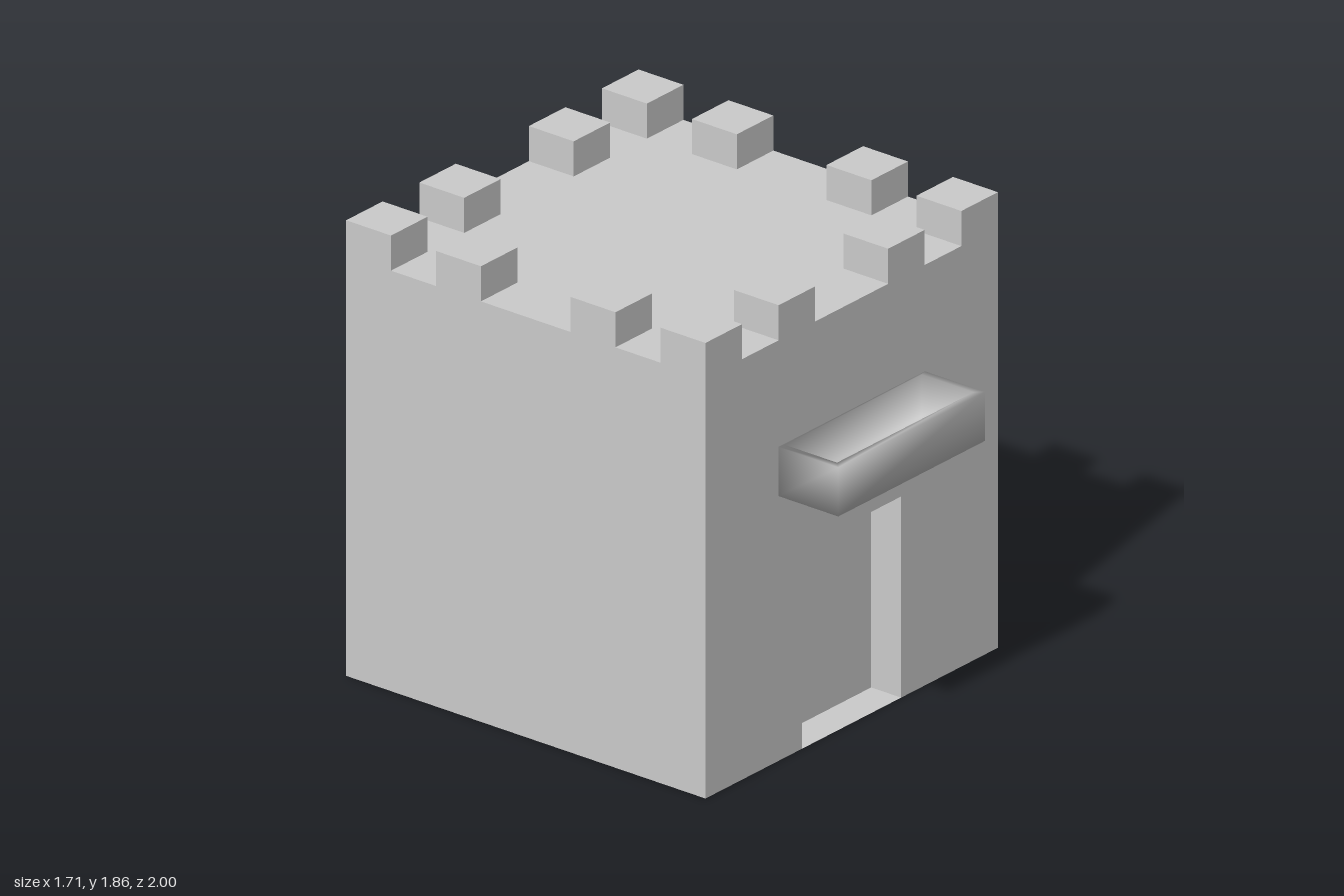
import * as THREE from 'three';

const W = 1.714, HALF = W / 2;       // keep is a cube
const ZC = -0.143, FRONT = 0.714;    // keep centre and front wall
const DOOR_W = 0.58, DOOR_H = 0.82, DOOR_D = 0.143;

// Remove one side of a box (0 +x, 1 -x, 2 +y, 3 -y, 4 +z, 5 -z).
function openBox(w, h, d, side) {
  const geo = new THREE.BoxGeometry(w, h, d);
  const index = Array.from(geo.index.array);
  index.splice(side * 6, 6);
  geo.clearGroups();
  geo.setIndex(index);
  return geo;
}

// Open trough with smooth normals: outer shell, rim, inner shell, two floors.
function troughGeometry() {
  const rings = [
    // x half width, y, z back, z front
    [0.43, 1.08, 0.714, 1.0],
    [0.43, 1.28, 0.714, 1.0],
    [0.40, 1.28, 0.722, 0.97],
    [0.40, 1.11, 0.722, 0.97],
  ];
  const pos = [], index = [];
  for (const [x, y, zb, zf] of rings) {
    pos.push(-x, y, zf, x, y, zf, x, y, zb, -x, y, zb);
  }
  for (let r = 0; r < 3; r++) {
    for (let i = 0; i < 4; i++) {
      const a = r * 4 + i, b = r * 4 + (i + 1) % 4;
      index.push(a, b, b + 4, a, b + 4, a + 4);
    }
  }
  index.push(0, 2, 1, 0, 3, 2);          // underside
  index.push(12, 13, 14, 12, 14, 15);    // inner floor
  const geo = new THREE.BufferGeometry();
  geo.setAttribute('position', new THREE.Float32BufferAttribute(pos, 3));
  geo.setIndex(index);
  geo.computeVertexNormals();
  return geo;
}

export function createModel() {
  const group = new THREE.Group();
  const grey = new THREE.MeshStandardMaterial({ color: 0xcccccc });
  const add = (name, geo, x = 0, y = 0, z = 0, parent = group) => {
    const mesh = new THREE.Mesh(geo, grey);
    mesh.name = name;
    mesh.position.set(x, y, z);
    parent.add(mesh);
    return mesh;
  };

  // Keep: sides, back, roof and base
  add('keepWalls', openBox(W, W, W, 4), 0, HALF, ZC);

  // Front wall with the doorway cut out
  const d = DOOR_W / 2;
  const wall = new THREE.Shape([
    [-HALF, 0], [-d, 0], [-d, DOOR_H], [d, DOOR_H],
    [d, 0], [HALF, 0], [HALF, W], [-HALF, W],
  ].map(([x, y]) => new THREE.Vector2(x, y)));
  add('frontWall', new THREE.ShapeGeometry(wall), 0, 0, FRONT);

  // Door recess: a box turned inside out, open to the front
  const recess = openBox(DOOR_W, DOOR_H, DOOR_D, 5);
  recess.scale(1, 1, -1);
  recess.computeVertexNormals();
  add('doorRecess', recess, 0, DOOR_H / 2, FRONT - DOOR_D / 2);

  // Battlements: four per side, corners shared
  const battlements = new THREE.Group();
  battlements.name = 'battlements';
  group.add(battlements);
  const merlon = new THREE.BoxGeometry(0.214, 0.143, 0.214);
  const steps = [-0.75, -0.321, 0.321, 0.75];
  steps.forEach((x, i) => steps.forEach((z, j) => {
    const onEdge = i % 3 === 0 || j % 3 === 0;
    if (onEdge) add('merlon', merlon, x, W + 0.0715, z + ZC, battlements);
  }));

  // Balcony above the door
  add('balcony', troughGeometry());

  return group;
}
